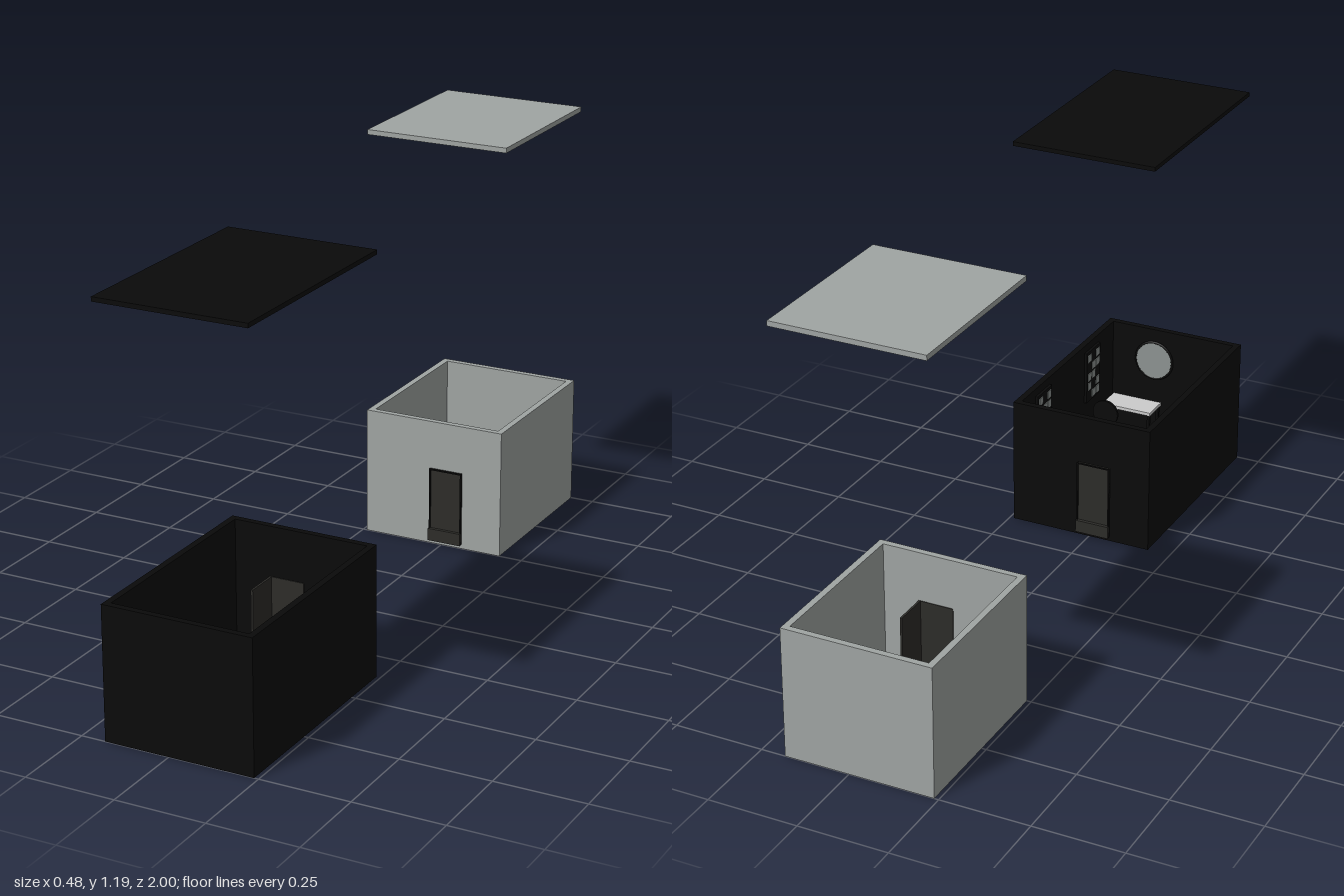
import * as THREE from 'three';

const W = 0.42, H = 0.368, T = 0.018;          // room width, height, wall thickness
const DOOR = { x0: -0.037, x1: 0.063, h: 0.228 };

const mat = (color) => new THREE.MeshStandardMaterial({ color });
const grey = mat(0xa0a5a3), black = mat(0x0a0a0a), dark = mat(0x2d2c29), white = mat(0xdddddd), glass = mat(0x8e9492);

function add(parent, name, geometry, material, x = 0, y = 0, z = 0) {
  const mesh = new THREE.Mesh(geometry, material);
  mesh.name = name;
  mesh.position.set(x, y, z);
  parent.add(mesh);
  return mesh;
}

// Box given by its minimum and maximum corners
function box(parent, name, material, [x0, y0, z0], [x1, y1, z1]) {
  return add(parent, name, new THREE.BoxGeometry(x1 - x0, y1 - y0, z1 - z0), material,
    (x0 + x1) / 2, (y0 + y1) / 2, (z0 + z1) / 2);
}

// Open-topped room; the door wall lies on z = 0 and the room runs towards -z
function room(name, depth, material, roofLow, roofHigh) {
  const g = new THREE.Group();
  g.name = name;
  const x0 = -0.238, x1 = x0 + W;
  box(g, 'floor', material, [x0, 0, -depth], [x1, T, 0]);
  box(g, 'backWall', material, [x0, T, -depth], [x1, H, -depth + T]);
  box(g, 'rightWall', material, [x0, T, -depth + T], [x0 + T, H, -T]);
  box(g, 'leftWall', material, [x1 - T, T, -depth + T], [x1, H, -T]);
  box(g, 'roof', material, [x0, roofLow, -depth], [x1, roofHigh, 0]);

  // Door wall with a doorway cut out
  const wall = new THREE.Shape([[x0, T], [x1, T], [x1, H], [x0, H]].map((p) => new THREE.Vector2(...p)));
  const { x0: a, x1: b, h } = DOOR;
  wall.holes.push(new THREE.Path([[a, T + 0.001], [a, h], [b, h], [b, T + 0.001]].map((p) => new THREE.Vector2(...p))));
  add(g, 'doorWall', new THREE.ExtrudeGeometry(wall, { depth: T, bevelEnabled: false }), material, 0, 0, -T);

  // Doorway panel, frame, threshold plate and a leaf standing open inside
  box(g, 'doorPanel', dark, [a, 0.012, -T - 0.002], [b, h, 0.003]);
  for (const x of [a, b - 0.004]) box(g, 'doorJamb', black, [x, 0.012, -T], [x + 0.004, h, 0.007]);
  box(g, 'doorLintel', black, [a, h - 0.004, -T], [b, h, 0.007]);
  box(g, 'threshold', dark, [a, 0.012, 0], [b, 0.048, 0.013]);
  box(g, 'doorLeaf', dark, [b - 0.006, T, -T - 0.1], [b, h, -T]);
  return g;
}

// Framed panel of small panes hung on the +x wall of the dark room
function wallPanel(parent, z) {
  const g = new THREE.Group();
  g.name = 'wallPanel';
  box(g, 'panelFrame', black, [0.212, 0.185, z - 0.045], [0.22, 0.345, z + 0.045]);
  for (let i = 0; i < 3; i++)
    for (let j = 0; j < 5; j++)
      if ((i * 2 + j) % 3) box(g, 'pane', glass,
        [0.21, 0.192 + j * 0.03, z - 0.038 + i * 0.027], [0.2125, 0.215 + j * 0.03, z - 0.016 + i * 0.027]);
  parent.add(g);
}

function furniture() {
  const g = new THREE.Group();
  g.name = 'furniture';
  // Round mirror on the far wall
  const mirror = new THREE.Group();
  mirror.name = 'roundMirror';
  mirror.position.set(0.084, 0.27, 0.978);
  add(mirror, 'mirrorRim', new THREE.TorusGeometry(0.058, 0.004, 8, 40), black);
  add(mirror, 'mirrorGlass', new THREE.CylinderGeometry(0.057, 0.057, 0.006, 40).rotateX(Math.PI / 2), glass);
  g.add(mirror);
  wallPanel(g, 0.83);
  wallPanel(g, 0.51);

  // Desk in the corner
  box(g, 'deskTop', white, [0.06, 0.125, 0.9], [0.215, 0.135, 0.98]);
  for (const x of [0.063, 0.204])
    for (const z of [0.904, 0.968]) box(g, 'deskLeg', black, [x, T, z], [x + 0.008, 0.125, z + 0.008]);

  // Round-backed chair
  const chair = new THREE.Group();
  chair.name = 'chair';
  chair.position.set(0.165, 0, 0.85);
  add(chair, 'chairSeat', new THREE.CylinderGeometry(0.035, 0.035, 0.01, 24), black, 0, 0.085);
  add(chair, 'chairPost', new THREE.CylinderGeometry(0.006, 0.006, 0.065, 12), black, 0, 0.05);
  add(chair, 'chairBase', new THREE.CylinderGeometry(0.028, 0.028, 0.006, 24), black, 0, 0.021);
  add(chair, 'chairBack', new THREE.CylinderGeometry(0.04, 0.04, 0.008, 24).rotateX(Math.PI / 2), black, 0, 0.15, -0.033);
  g.add(chair);
  return g;
}

export function createModel() {
  const model = new THREE.Group();
  model.name = 'twoRooms';

  const pale = room('greyRoom', 0.5, grey, 1.174, 1.188);
  pale.position.z = -0.5;

  // The dark room faces the grey one
  const shade = room('darkRoom', 0.637, black, 1.136, 1.148);
  shade.rotation.y = Math.PI;
  shade.position.z = 0.363;

  model.add(pale, shade, furniture());
  return model;
}
